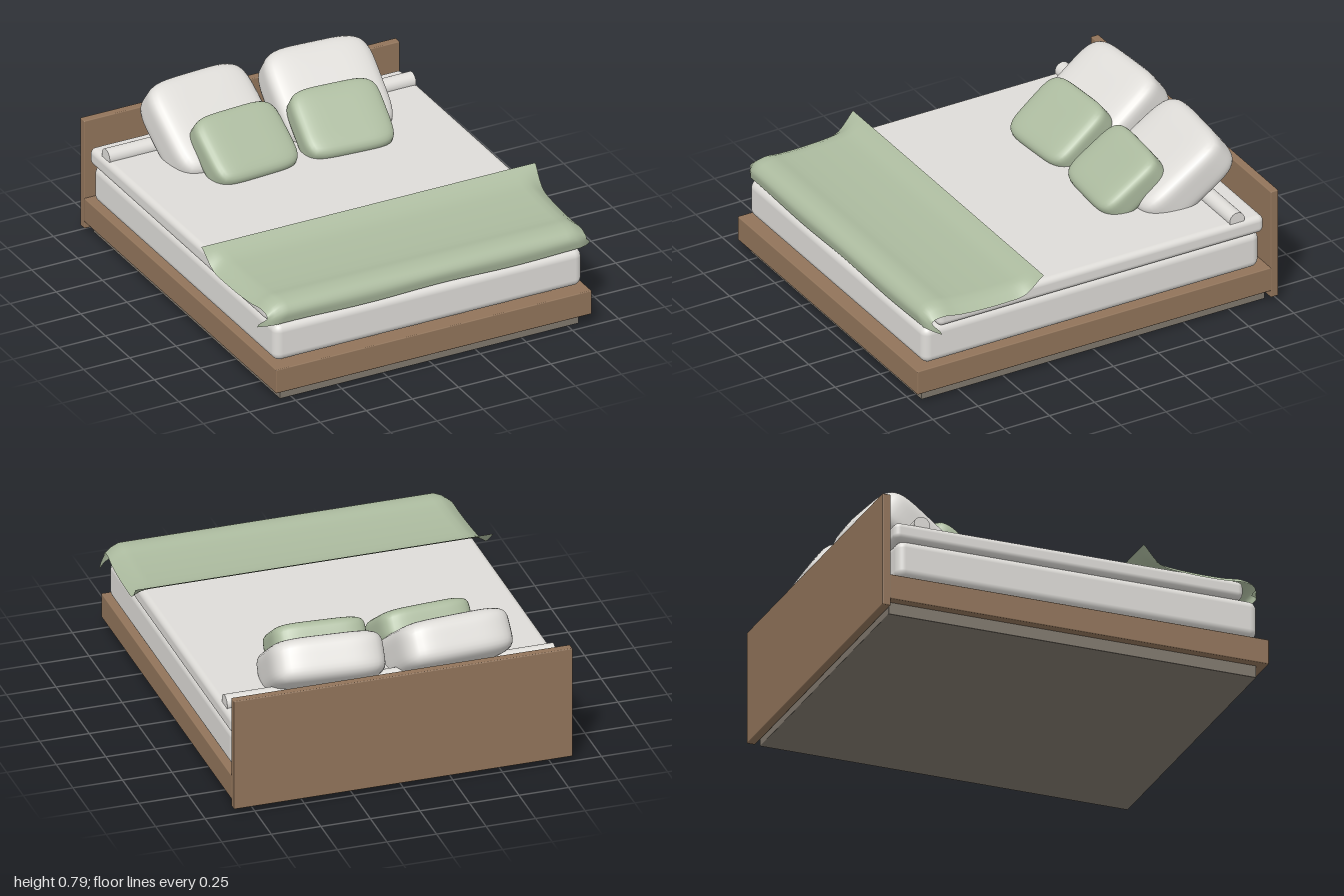
import * as THREE from 'three';
import { mergeVertices } from 'three/addons/utils/BufferGeometryUtils.js';
import { RoundedBoxGeometry } from 'three/addons/geometries/RoundedBoxGeometry.js';

const material = (name, color, side = THREE.FrontSide) => {
  const m = new THREE.MeshStandardMaterial({ color, side });
  m.name = name;
  return m;
};

// Box given by its limits, with rounded edges
function block(name, mat, [x0, x1], [y0, y1], [z0, z1], radius, segments = 2) {
  const geo = new RoundedBoxGeometry(x1 - x0, y1 - y0, z1 - z0, segments, radius);
  const mesh = new THREE.Mesh(geo, mat);
  mesh.name = name;
  mesh.position.set((x0 + x1) / 2, (y0 + y1) / 2, (z0 + z1) / 2);
  return mesh;
}

// Plump cushion: a cube pulled onto a superellipsoid
function cushionGeometry(w, h, d, power = 5) {
  const geo = new THREE.BoxGeometry(2, 2, 2, 16, 16, 12);
  geo.deleteAttribute('uv');
  geo.deleteAttribute('normal');
  const p = geo.attributes.position;
  for (let i = 0; i < p.count; i++) {
    const x = p.getX(i), y = p.getY(i), z = p.getZ(i);
    const k = (Math.abs(x) ** power + Math.abs(y) ** power + Math.abs(z) ** power) ** (-1 / power);
    p.setXYZ(i, x * k * w / 2, y * k * h / 2, z * k * d / 2);
  }
  const merged = mergeVertices(geo, 1e-5);
  merged.computeVertexNormals();
  return merged;
}

// Draped blanket: a grid following a side profile, with drooping sides
function blanketGeometry() {
  const profile = new THREE.CatmullRomCurve3([
    [0.33, 0.553], [0.37, 0.525], [0.42, 0.506], [0.5, 0.497], [0.65, 0.493],
    [0.78, 0.498], [0.86, 0.508], [0.92, 0.495], [0.952, 0.455], [0.945, 0.4],
  ].map(([z, y]) => new THREE.Vector3(0, y, z)));
  const geo = new THREE.PlaneGeometry(2, 1, 48, 36);
  const p = geo.attributes.position;
  for (let i = 0; i < p.count; i++) {
    const u = p.getX(i), v = p.getY(i) + 0.5;
    const c = profile.getPoint(1 - v);
    const s = 1 - v;
    // width narrows toward the foot, then flares at the hem corners
    const half = 0.905 - 0.04 * Math.min(s / 0.75, 1) + 0.035 * THREE.MathUtils.smoothstep(s, 0.85, 1);
    const edge = THREE.MathUtils.smoothstep(Math.abs(u), 0.93, 1);
    const droop = edge * 0.045 * THREE.MathUtils.smoothstep(s, 0.02, 0.3);
    const hem = THREE.MathUtils.smoothstep(s, 0.75, 1);
    const ripple = 0.004 * Math.sin(u * 7 + 1) * hem;
    const tuck = edge * 0.055 * hem;
    p.setXYZ(i, u * half, c.y - droop * (1 - 0.6 * hem) + ripple, c.z - tuck);
  }
  geo.computeVertexNormals();
  return geo;
}

export function createModel() {
  const bed = new THREE.Group();
  bed.name = 'bed';

  const wood = material('wood', 0x91745a);
  const base = material('base grey', 0x80786d);
  const linen = material('linen white', 0xdedcd8);
  const sage = material('sage green', 0xacbb9f);
  const sageCloth = material('sage cloth', 0xacbb9f, THREE.DoubleSide);

  // Frame
  bed.add(block('plinth', base, [-0.81, 0.81], [0, 0.066], [-0.95, 0.952], 0.003));
  bed.add(block('frame', wood, [-0.855, 0.855], [0.062, 0.19], [-0.962, 1], 0.005));
  bed.add(block('headboard', wood, [-0.855, 0.855], [0.025, 0.61], [-1, -0.957], 0.005));

  // Bedding
  bed.add(block('mattress', linen, [-0.835, 0.835], [0.198, 0.396], [-0.912, 0.952], 0.042, 5));
  bed.add(block('duvet', linen, [-0.845, 0.845], [0.39, 0.482], [-0.93, 0.875], 0.03, 4));

  const roll = new THREE.Mesh(new THREE.CylinderGeometry(0.041, 0.041, 1.66, 24), linen);
  roll.name = 'sheetRoll';
  roll.rotation.z = Math.PI / 2;
  roll.position.set(0, 0.492, -0.785);
  bed.add(roll);

  const blanket = new THREE.Mesh(blanketGeometry(), sageCloth);
  blanket.name = 'blanket';
  bed.add(blanket);

  // Pillows and cushions, leaning back in mirrored pairs
  const pillowGeo = cushionGeometry(0.565, 0.53, 0.235);
  const cushionGeo = cushionGeometry(0.465, 0.38, 0.165);
  const lean = THREE.MathUtils.degToRad(-54);
  for (const side of [-1, 1]) {
    const label = side > 0 ? 'left' : 'right';
    for (const [name, geo, mat, x, y, z] of [
      ['Pillow', pillowGeo, linen, 0.315, 0.575, -0.7],
      ['Cushion', cushionGeo, sage, 0.262, 0.565, -0.45],
    ]) {
      const mesh = new THREE.Mesh(geo, mat);
      mesh.name = label + name;
      mesh.position.set(side * x, y, z);
      mesh.rotation.set(lean, side * -0.07, 0, 'YXZ');
      bed.add(mesh);
    }
  }
  return bed;
}
